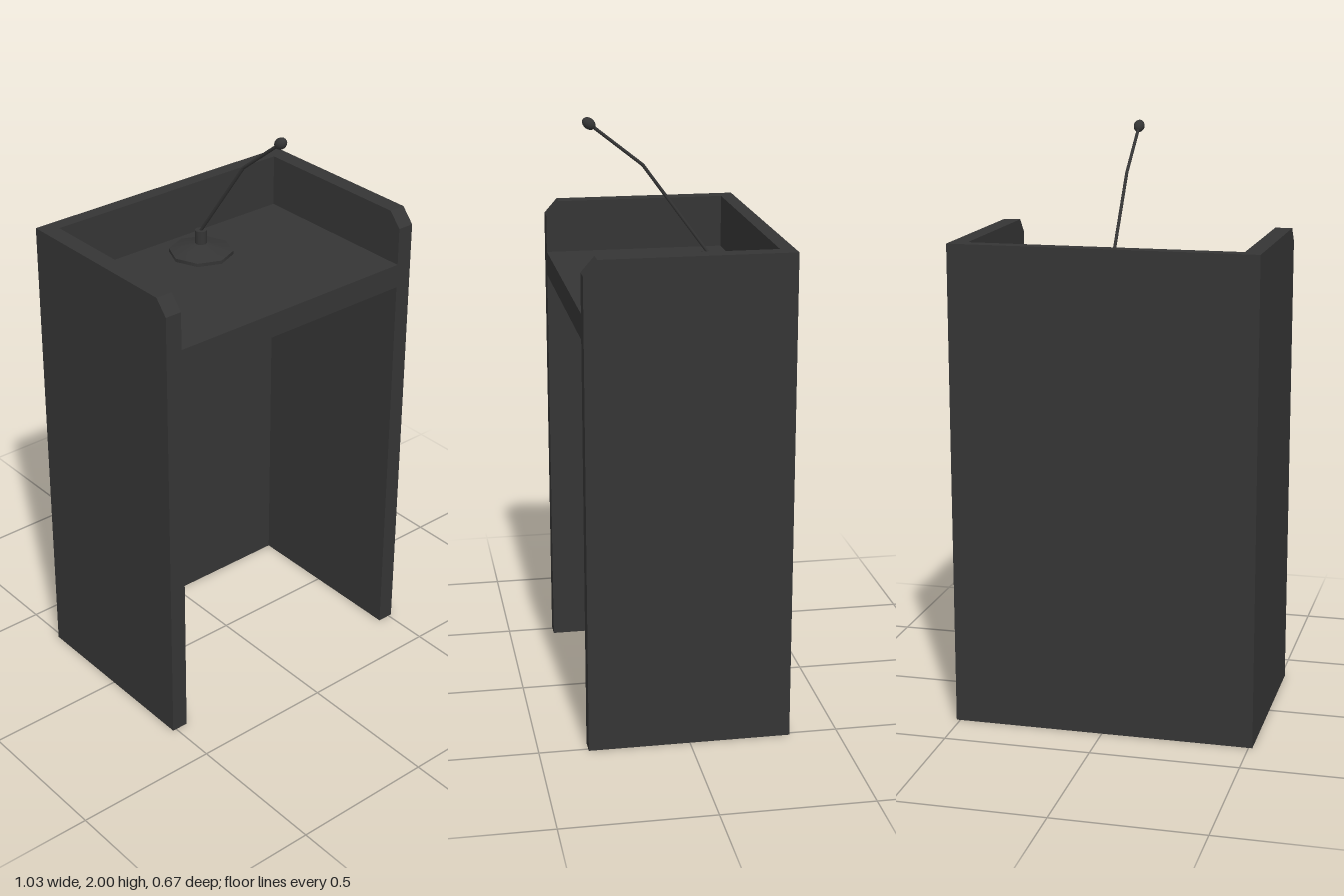
import * as THREE from 'three';

const W = 0.513, INNER = 0.455, D = 0.337, BACK = -0.289, H = 1.64;

export function createModel() {
  const model = new THREE.Group();
  model.name = 'lectern';
  const charcoal = new THREE.MeshStandardMaterial({ color: 0x353535 });
  charcoal.name = 'charcoal';

  function add(parent, name, geometry, x = 0, y = 0, z = 0) {
    const mesh = new THREE.Mesh(geometry, charcoal);
    mesh.name = name;
    mesh.position.set(x, y, z);
    parent.add(mesh);
    return mesh;
  }

  // Side panels: profile in (-z, y) with a chamfered front top corner
  const profile = new THREE.Shape([
    [-D, 0], [D, 0], [D, H], [-0.293, H], [-D, 1.59],
  ].map(([x, y]) => new THREE.Vector2(x, y)));
  const panel = new THREE.ExtrudeGeometry(profile, { depth: W - INNER, bevelEnabled: false });
  panel.rotateY(Math.PI / 2);
  add(model, 'leftSidePanel', panel, INNER);
  add(model, 'rightSidePanel', panel, -W);

  // Back panel and desk shelf between the sides
  add(model, 'backPanel', new THREE.BoxGeometry(INNER * 2, H, D + BACK), 0, H / 2, (BACK - D) / 2);
  add(model, 'deskShelf', new THREE.BoxGeometry(INNER * 2, 0.083, D - BACK), 0, 1.4185, (BACK + D) / 2);

  // Gooseneck microphone
  const mic = new THREE.Group();
  mic.name = 'microphone';
  mic.position.x = 0.013;
  model.add(mic);

  // Octagonal foot with a shallow sloping top, and a collar
  add(mic, 'microphoneFoot', new THREE.CylinderGeometry(0.108, 0.108, 0.012, 8), 0, 1.466, -0.147);
  add(mic, 'microphoneFootSlope', new THREE.CylinderGeometry(0.02, 0.108, 0.026, 8), 0, 1.485, -0.147);
  add(mic, 'microphoneCollar', new THREE.CylinderGeometry(0.02, 0.02, 0.05, 12), 0, 1.52, -0.147);

  // Two straight stem sections meeting at a bend
  const up = new THREE.Vector3(0, 1, 0);
  const points = [[1.535, -0.153], [1.84, 0.07], [1.979, 0.246]]
    .map(([y, z]) => new THREE.Vector3(0, y, z));
  const direction = new THREE.Vector3();
  for (let i = 0; i < 2; i++) {
    direction.subVectors(points[i + 1], points[i]);
    const length = direction.length();
    direction.normalize();
    const stem = add(mic, i ? 'upperStem' : 'lowerStem', new THREE.CylinderGeometry(0.0055, 0.0055, length, 8));
    stem.position.lerpVectors(points[i], points[i + 1], 0.5);
    stem.quaternion.setFromUnitVectors(up, direction);
  }
  add(mic, 'stemBend', new THREE.SphereGeometry(0.0055, 8, 6), 0, 1.84, 0.07);

  // Egg-shaped head aligned with the upper stem
  const head = add(mic, 'microphoneHead', new THREE.SphereGeometry(0.0185, 14, 10), 0, 1.979, 0.246);
  head.scale.y = 1.3;
  head.quaternion.setFromUnitVectors(up, direction);

  return model;
}
